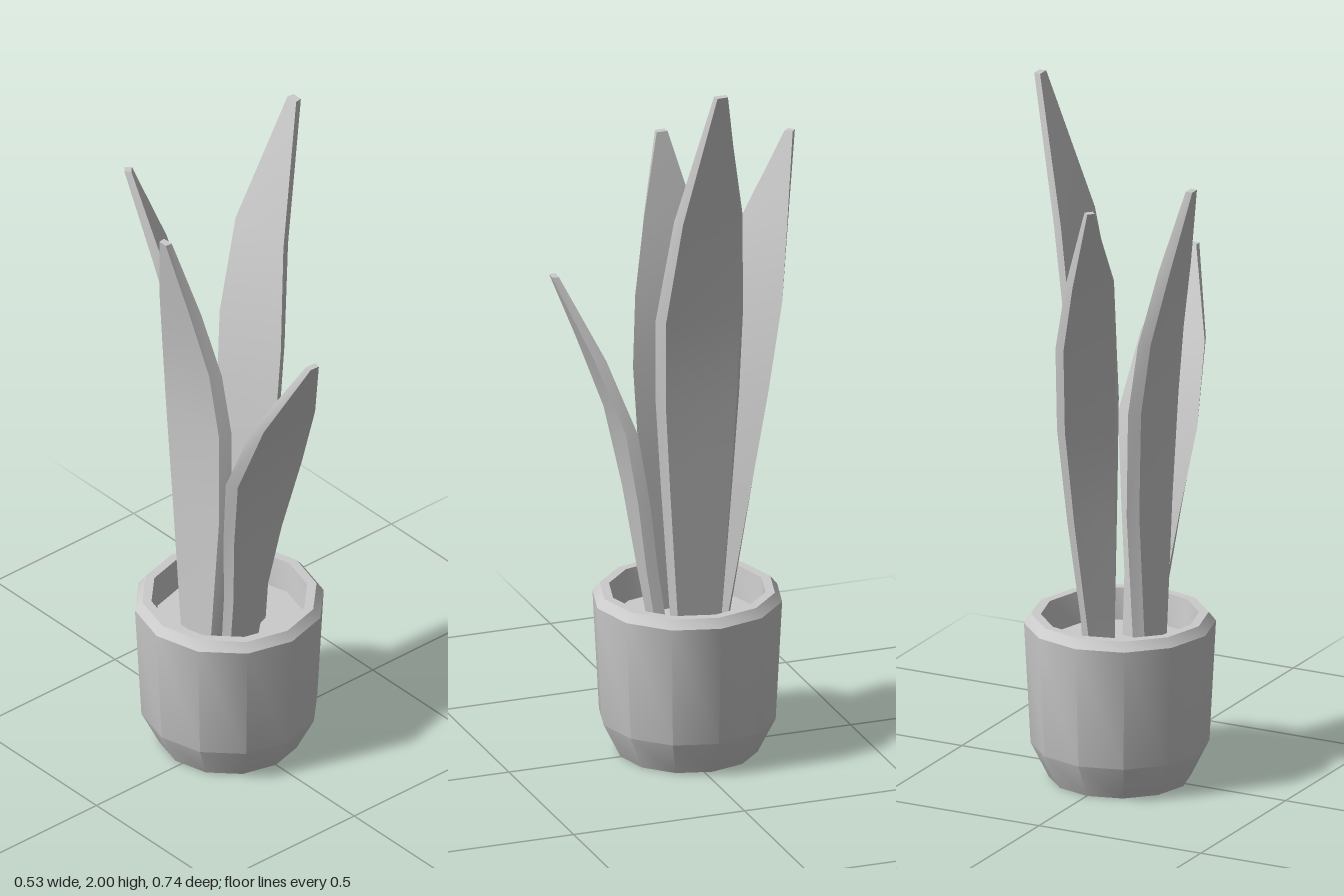
import * as THREE from 'three';
import { toCreasedNormals } from 'three/addons/utils/BufferGeometryUtils.js';

const grey = new THREE.MeshStandardMaterial({ color: 0xcccccc });
const CENTRE_Z = -0.022;

function part(geometry, name) {
  const mesh = new THREE.Mesh(toCreasedNormals(geometry, 0.6), grey);
  mesh.name = name;
  return mesh;
}

// Blade lofted through four-cornered sections [y, centre x, centre z, half width].
// (nx, nz) is the horizontal direction its outer face looks to.
function leaf(name, nx, nz, sections, thickness = 0.03) {
  const length = Math.hypot(nx, nz);
  nx /= length;
  nz /= length;
  const positions = [];
  const index = [];
  sections.forEach(([y, x, z, half], k) => {
    const t = (k === sections.length - 1 ? 0.65 : 1) * thickness / 2;
    // inner face is full width, outer face a little narrower
    for (const [side, out] of [[-1, -1], [1, -1], [0.85, 1], [-0.85, 1]]) {
      positions.push(x + nz * side * half + nx * out * t, y, z - nx * side * half + nz * out * t);
    }
    if (k === 0) return;
    for (let i = 0; i < 4; i++) {
      const j = (i + 1) % 4;
      const a = (k - 1) * 4 + i, b = (k - 1) * 4 + j;
      index.push(a, a + 4, b, b, a + 4, b + 4);
    }
  });
  // end caps
  const top = (sections.length - 1) * 4;
  index.push(0, 1, 2, 0, 2, 3, top, top + 2, top + 1, top, top + 3, top + 2);
  const geometry = new THREE.BufferGeometry();
  geometry.setAttribute('position', new THREE.Float32BufferAttribute(positions, 3));
  geometry.setIndex(index);
  return part(geometry, name);
}

export function createModel() {
  const group = new THREE.Group();
  group.name = 'pottedPlant';

  // Twelve-sided pot with a bevelled rim and hollow top
  const profile = [
    [0, 0], [0.195, 0], [0.245, 0.1], [0.263, 0.445], [0.243, 0.47], [0.217, 0.47], [0.207, 0.37],
  ].map(([r, y]) => new THREE.Vector2(r, y));
  const pot = part(new THREE.LatheGeometry(profile, 12), 'pot');
  pot.position.z = CENTRE_Z;

  // Soil
  const soil = part(new THREE.CircleGeometry(0.21, 12).rotateX(-Math.PI / 2), 'soil');
  soil.position.set(0, 0.38, CENTRE_Z);
  group.add(pot, soil);

  // Four blades bending outwards
  group.add(
    leaf('leftLeaf', 1, 0, [
      [0.37, 0.067, -0.027, 0.072], [0.8, 0.075, -0.027, 0.105], [1.05, 0.08, -0.027, 0.122],
      [1.3, 0.095, -0.027, 0.128], [1.6, 0.137, -0.037, 0.1], [2.0, 0.243, -0.03, 0.018],
    ]),
    leaf('rightLeaf', -1, 0, [
      [0.37, -0.1, -0.03, 0.072], [0.8, -0.1, -0.03, 0.115], [1.1, -0.112, -0.03, 0.13],
      [1.3, -0.135, -0.03, 0.115], [1.5, -0.175, -0.03, 0.075], [1.73, -0.225, -0.03, 0.016],
    ]),
    leaf('backLeaf', -0.72, -0.7, [
      [0.37, 0.02, -0.095, 0.04], [0.77, 0.022, -0.138, 0.07], [1.05, 0.017, -0.175, 0.086],
      [1.3, -0.005, -0.222, 0.088], [1.5, -0.04, -0.267, 0.07], [1.74, -0.08, -0.353, 0.012],
    ]),
    leaf('frontLeaf', -0.08, 1, [
      [0.37, -0.027, 0.058, 0.055], [0.55, -0.03, 0.088, 0.068], [0.75, -0.03, 0.118, 0.095],
      [0.98, -0.027, 0.165, 0.128], [1.2, -0.03, 0.25, 0.103], [1.43, -0.027, 0.358, 0.016],
    ]),
  );
  return group;
}
